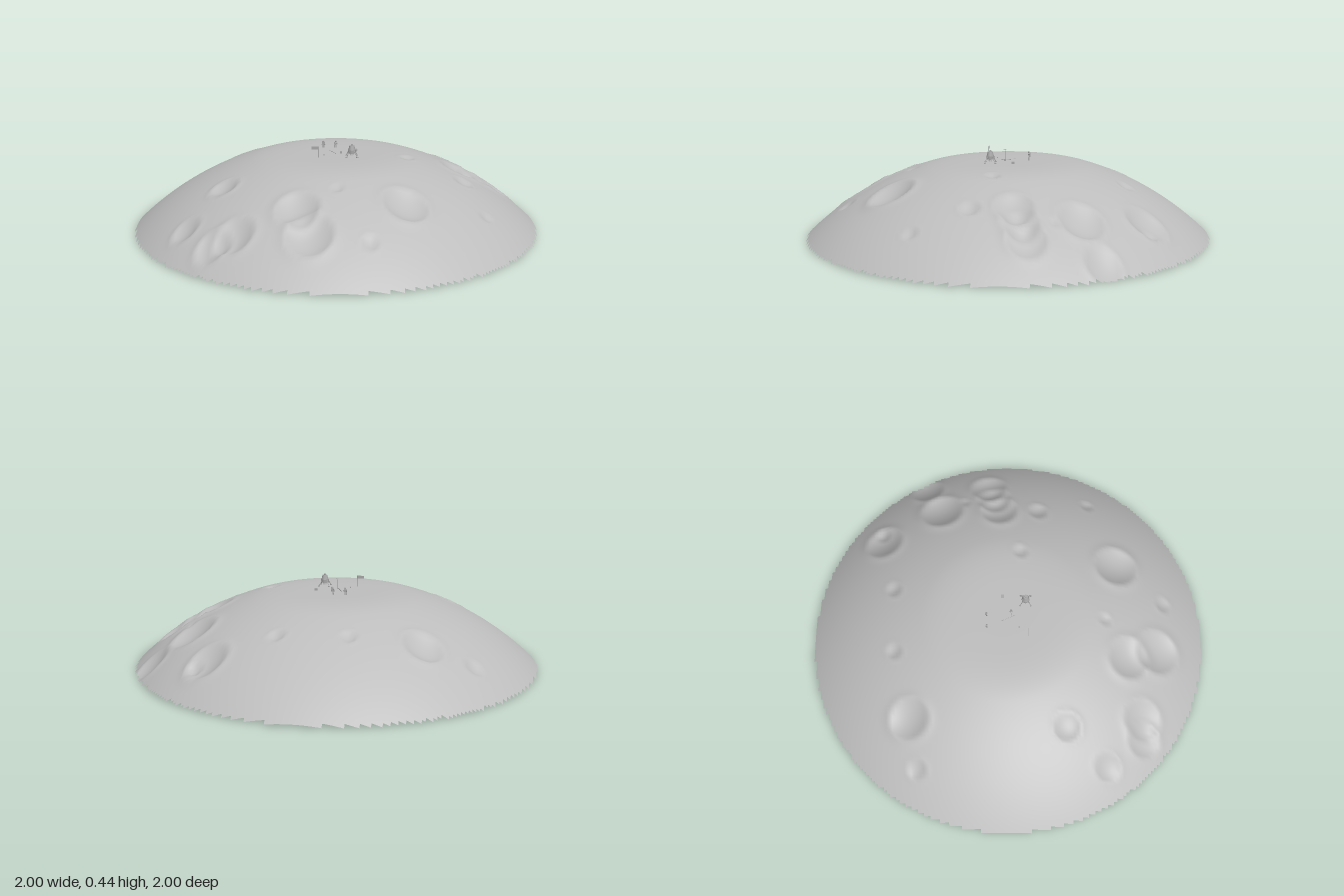
import * as THREE from 'three';

const regolith = new THREE.MeshStandardMaterial({ color: 0xbdbdbd, side: THREE.DoubleSide });
regolith.name = 'moon grey';
const metal = new THREE.MeshStandardMaterial({ color: 0xa8a8a8, side: THREE.DoubleSide });
metal.name = 'equipment grey';

// Craters: x, z, radius
const CRATERS = [
  [-0.49, -0.48, 0.1], [-0.72, -0.44, 0.05], [-0.16, -0.56, 0.043], [0.17, -0.575, 0.043],
  [0.48, -0.65, 0.1], [0.54, -0.66, 0.043], [0.64, -0.35, 0.112], [0.83, -0.44, 0.088],
  [0.69, -0.23, 0.03], [0.8, -0.11, 0.095], [0.71, -0.08, 0.09], [0.62, -0.05, 0.095],
  [0.35, 0.06, 0.04], [0.62, 0.15, 0.052], [0.7, 0.41, 0.038], [0.31, 0.545, 0.112],
  [0, 0.48, 0.035], [-0.18, 0.6, 0.105], [-0.125, 0.75, 0.112], [0.14, 0.79, 0.043],
  [-0.535, 0.29, 0.07], [-0.7, 0.495, 0.068], [-0.465, 0.67, 0.097], [-0.56, 0.68, 0.085],
];
const TOP = 0.375;

// Spherical cap, softly flattened at the summit
function domeHeight(r) {
  const cap = 0.41 - 1.45 + Math.sqrt(1.45 * 1.45 - r * r);
  const k = 0.03;
  const t = THREE.MathUtils.clamp(0.5 + (0.5 * (TOP - cap)) / k, 0, 1);
  return THREE.MathUtils.lerp(TOP, cap, t) - k * t * (1 - t);
}

// Parabolic bowl with a raised rim that fades outwards
function craterOffset(d, r) {
  const t = d / r;
  const rim = 0.07 * r;
  if (t < 1) return rim - 0.36 * r * (1 - t * t);
  return t < 1.5 ? rim * ((1.5 - t) / 0.5) ** 2 : 0;
}

function groundHeight(x, z) {
  let y = domeHeight(Math.hypot(x, z));
  for (const [cx, cz, r] of CRATERS) y += craterOffset(Math.hypot(x - cx, z - cz), r);
  return Math.max(0, y);
}

// Square grid trimmed to a disc, leaving a stepped edge
function createGround() {
  const n = 128, cell = 2 / n;
  const positions = [], index = [];
  const ids = new Map();
  const vertex = (i, j) => {
    const key = i * (n + 1) + j;
    if (!ids.has(key)) {
      const x = -1 + i * cell, z = -1 + j * cell;
      ids.set(key, positions.length / 3);
      positions.push(x, groundHeight(x, z), z);
    }
    return ids.get(key);
  };
  for (let i = 0; i < n; i++) {
    for (let j = 0; j < n; j++) {
      if (Math.hypot(-1 + (i + 0.5) * cell, -1 + (j + 0.5) * cell) > 1) continue;
      const a = vertex(i, j), b = vertex(i + 1, j), c = vertex(i, j + 1), d = vertex(i + 1, j + 1);
      index.push(a, c, b, b, c, d);
    }
  }
  const geometry = new THREE.BufferGeometry();
  geometry.setAttribute('position', new THREE.Float32BufferAttribute(positions, 3));
  geometry.setIndex(index);
  geometry.computeVertexNormals();
  const mesh = new THREE.Mesh(geometry, regolith);
  mesh.name = 'crateredGround';
  return mesh;
}

function part(parent, name, geometry, x, y, z) {
  const mesh = new THREE.Mesh(geometry, metal);
  mesh.name = name;
  mesh.position.set(x, y, z);
  parent.add(mesh);
  return mesh;
}

// Thin rod between two points
function rod(parent, name, from, to, radius) {
  const a = new THREE.Vector3(...from), b = new THREE.Vector3(...to);
  const dir = b.clone().sub(a);
  const mesh = part(parent, name, new THREE.CylinderGeometry(radius, radius, dir.length(), 6), 0, 0, 0);
  mesh.position.copy(a).add(b).multiplyScalar(0.5);
  mesh.quaternion.setFromUnitVectors(new THREE.Vector3(0, 1, 0), dir.normalize());
}

function group(name, x, z) {
  const g = new THREE.Group();
  g.name = name;
  g.position.set(x, TOP, z);
  return g;
}

// Four-legged landing craft
function createLander() {
  const g = group('lander', 0.077, 0.085);
  part(g, 'descentStage', new THREE.CylinderGeometry(0.02, 0.02, 0.016, 8), 0, 0.026, 0);
  part(g, 'engineBell', new THREE.CylinderGeometry(0.004, 0.009, 0.01, 8), 0, 0.013, 0);
  part(g, 'ascentStage', new THREE.CylinderGeometry(0.012, 0.018, 0.022, 8), 0, 0.045, 0);
  part(g, 'hatch', new THREE.CylinderGeometry(0.005, 0.005, 0.006, 8), 0, 0.059, 0);
  for (const sx of [-1, 1]) {
    for (const sz of [-1, 1]) {
      rod(g, 'leg', [sx * 0.013, 0.03, sz * 0.013], [sx * 0.026, 0.002, sz * 0.026], 0.0018);
      part(g, 'footPad', new THREE.CylinderGeometry(0.005, 0.005, 0.003, 8), sx * 0.026, 0.0015, sz * 0.026);
    }
  }
  return g;
}

// Standing suited figure
function createExplorer(x, z) {
  const g = group('explorer', x, z);
  for (const s of [-1, 1]) {
    part(g, 'leg', new THREE.CylinderGeometry(0.002, 0.002, 0.015, 6), s * 0.003, 0.0075, 0);
    rod(g, 'arm', [s * 0.005, 0.027, 0], [s * 0.008, 0.015, 0.003], 0.0016);
  }
  part(g, 'torso', new THREE.BoxGeometry(0.01, 0.014, 0.006), 0, 0.021, 0);
  part(g, 'backpack', new THREE.BoxGeometry(0.008, 0.012, 0.004), 0, 0.023, -0.005);
  part(g, 'helmet', new THREE.SphereGeometry(0.0045, 8, 6), 0, 0.032, 0);
  return g;
}

// Plain flag on a pole
function createFlag() {
  const g = group('flag', -0.087, 0.1);
  rod(g, 'pole', [0, 0, 0], [0, 0.056, 0], 0.0012);
  part(g, 'cloth', new THREE.BoxGeometry(0.033, 0.014, 0.001), -0.0165, 0.048, 0);
  return g;
}

// Mast with a small dish and instrument boxes
function createInstruments() {
  const g = group('instruments', 0, 0);
  rod(g, 'mast', [0, 0, 0.015], [0, 0.05, 0.015], 0.0012);
  part(g, 'dish', new THREE.ConeGeometry(0.008, 0.006, 8, 1, true), 0, 0.055, 0.015);
  rod(g, 'cable', [-0.03, 0.002, -0.035], [0, 0.002, 0.035], 0.001);
  part(g, 'sensorBox', new THREE.BoxGeometry(0.014, 0.01, 0.014), 0.1, 0.005, -0.028);
  part(g, 'sampleBox', new THREE.BoxGeometry(0.01, 0.01, 0.01), 0.026, 0.005, 0.015);
  part(g, 'marker', new THREE.BoxGeometry(0.006, 0.006, 0.006), -0.06, 0.003, 0.055);
  return g;
}

export function createModel() {
  const model = new THREE.Group();
  model.name = 'lunarLandingSite';
  model.add(createGround(), createLander(), createFlag(), createInstruments());
  model.add(createExplorer(-0.062, -0.103), createExplorer(0, -0.105));
  return model;
}
